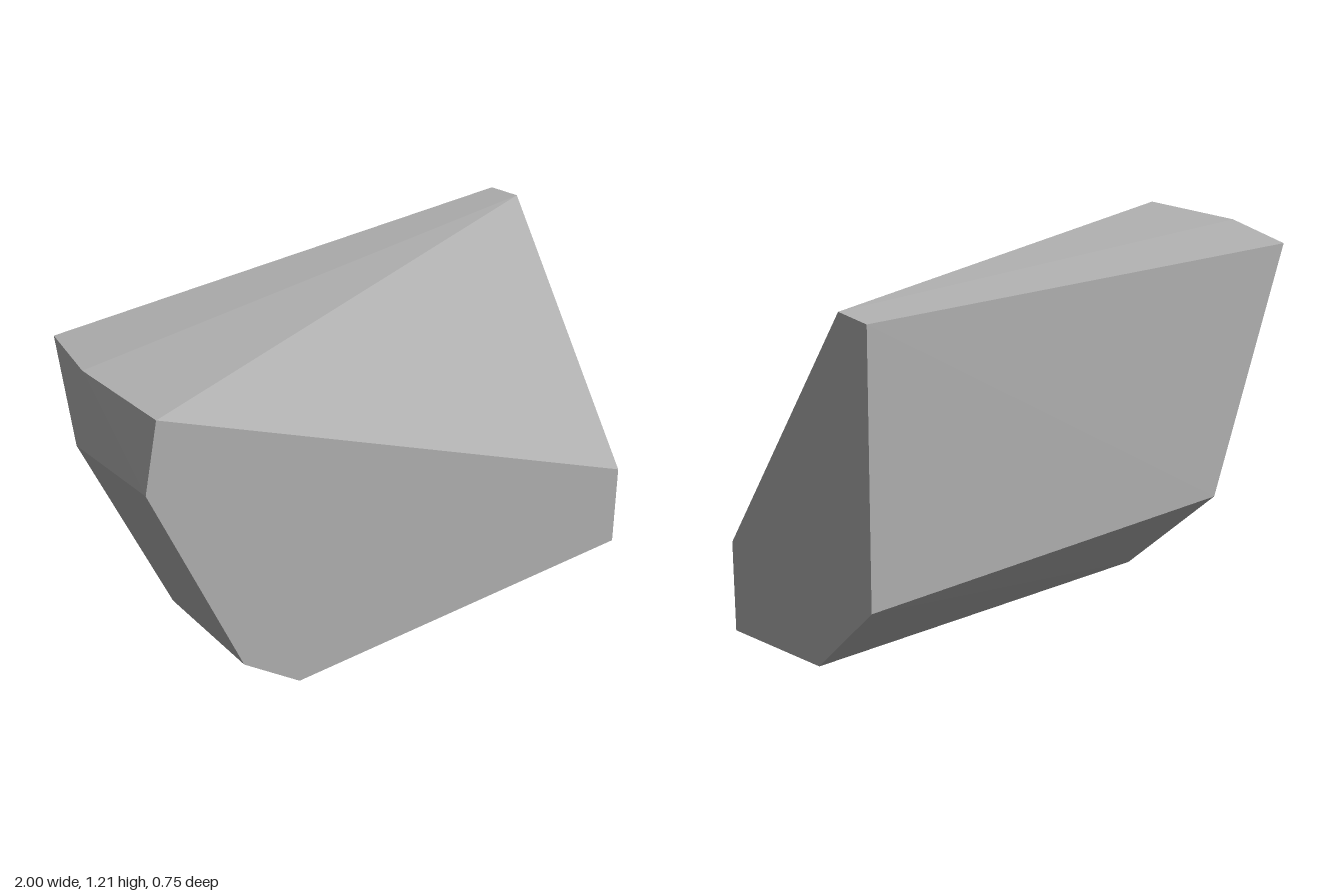
import * as THREE from 'three';
import { ConvexGeometry } from 'three/addons/geometries/ConvexGeometry.js';

// A faceted convex block, described by its corner points
export function createModel() {
  const stone = new THREE.MeshStandardMaterial({ color: 0xb0b0b0, flatShading: true });
  stone.name = 'stone grey';

  // front outline
  const front = [[-0.95, 1.21], [-1, 0.97], [-0.67, 0.2], [-0.45, 0.03], [1, 0], [1, 0.31]]
    .map(([x, y]) => new THREE.Vector3(x, y, 0.37));

  // flat end at +x, as z and y
  const end = [[-0.24, 1.18], [-0.375, 1.165], [-0.365, 0.27], [-0.09, 0.015]]
    .map(([z, y]) => new THREE.Vector3(1, y, z));

  // broken end at -x: middle ridge, then back edge
  const broken = [
    [-0.95, 1.195, -0.04], [-0.99, 0.945, -0.04], [-0.66, 0.205, -0.06], [-0.385, 0.02, -0.085],
    [-0.87, 1.16, -0.35], [-0.535, 0.3, -0.355],
  ].map((p) => new THREE.Vector3(...p));

  const block = new THREE.Mesh(new ConvexGeometry([...front, ...end, ...broken]), stone);
  block.name = 'stoneBlock';

  const group = new THREE.Group();
  group.name = 'stoneFragment';
  group.add(block);
  return group;
}
